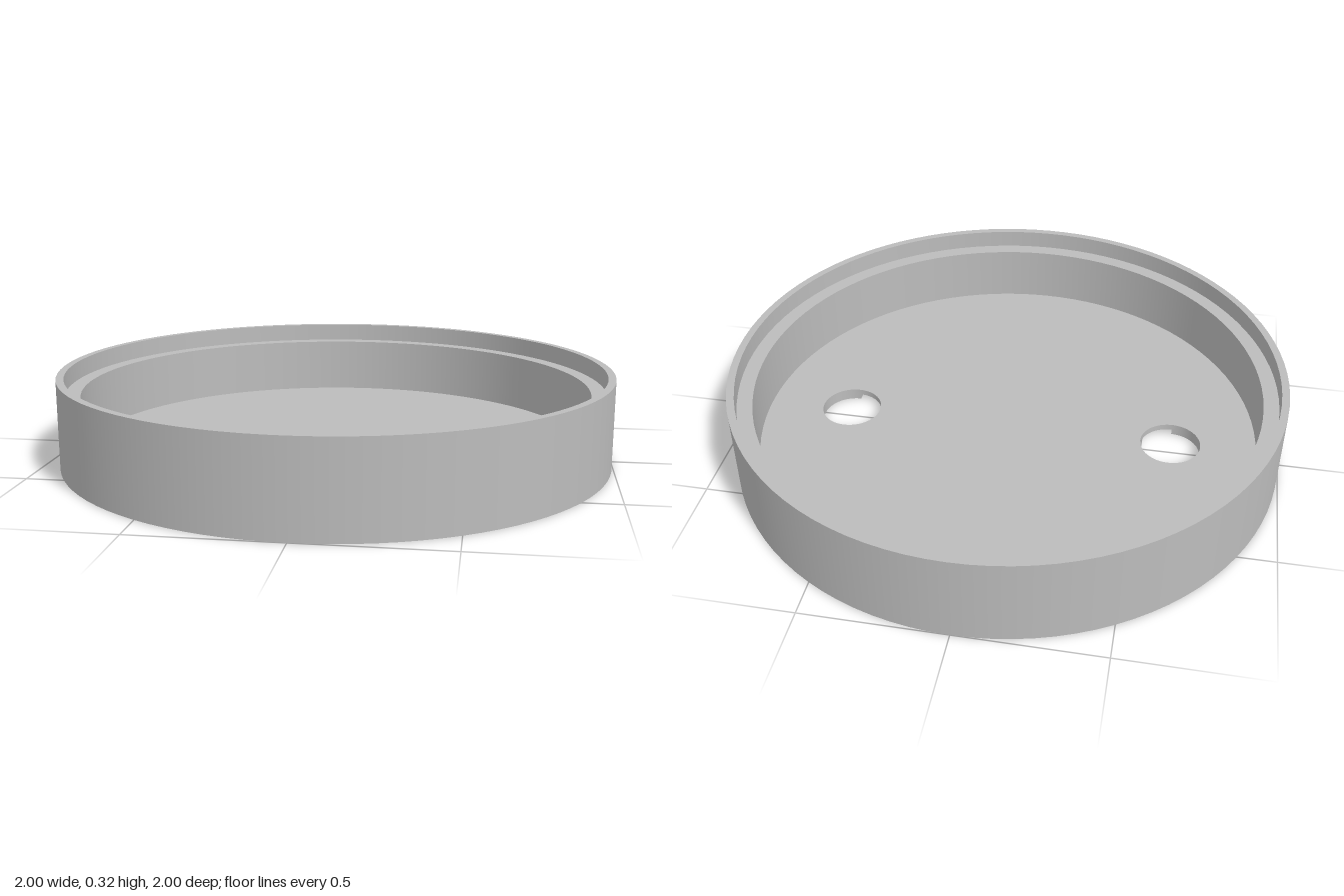
import * as THREE from 'three';
import { mergeGeometries } from 'three/addons/utils/BufferGeometryUtils.js';

const R = 1, LIP = 0.973, INNER = 0.918;             // radii
const TOP = 0.32, LEDGE = 0.253, FLOOR = 0.043, RECESS = 0.021; // heights
const S = 0.607, HOLE = 0.11;                        // recess half side (= hole offset), hole radius
const SEG = 96;

// Revolved profile with a sharp edge at every profile point
function revolve(profile, seg = SEG, start = 0, length = Math.PI * 2) {
  const bands = [];
  for (let i = 0; i < profile.length - 1; i++) {
    const pts = [profile[i], profile[i + 1]].map(([r, y]) => new THREE.Vector2(r, y));
    bands.push(new THREE.LatheGeometry(pts, seg, start, length));
  }
  return mergeGeometries(bands);
}

// Square outline whose left and right sides carry a half circle, bulging out or biting in
function traceSquare(path, biteIn) {
  const q = Math.PI / 2;
  path.moveTo(-S, -S);
  path.lineTo(S, -S);
  path.lineTo(S, -HOLE);
  path.absarc(S, 0, HOLE, -q, q, biteIn);
  path.lineTo(S, S);
  path.lineTo(-S, S);
  path.lineTo(-S, HOLE);
  path.absarc(-S, 0, HOLE, q, biteIn ? -q : 3 * q, biteIn);
  path.closePath();
  return path;
}

function disc(radius) {
  const shape = new THREE.Shape();
  shape.absarc(0, 0, radius, 0, Math.PI * 2, false);
  return shape;
}

// Flat horizontal face, facing up (1) or down (-1)
function face(shape, y, dir, seg) {
  return new THREE.ShapeGeometry(shape, seg).rotateX(-dir * Math.PI / 2).translate(0, y, 0);
}

export function createModel() {
  const group = new THREE.Group();
  const grey = new THREE.MeshStandardMaterial({ color: 0xbcbcbc });
  grey.name = 'plainGrey';
  const add = (name, geometry) => {
    const mesh = new THREE.Mesh(geometry, grey);
    mesh.name = name;
    group.add(mesh);
  };

  // Outer wall, rim, stepped ledge and inner wall
  add('rimWall', revolve([
    [R, 0], [R, TOP], [LIP, TOP], [LIP, LEDGE], [INNER, LEDGE], [INNER, FLOOR],
  ]));

  // Floor inside the dish, with two round holes
  const floor = disc(INNER);
  for (const side of [-1, 1]) {
    const hole = new THREE.Path();
    hole.absarc(side * S, 0, HOLE, 0, Math.PI * 2, true);
    floor.holes.push(hole);
  }
  add('floor', face(floor, FLOOR, 1, SEG));

  // Underside around the square recess
  const under = disc(R);
  under.holes.push(traceSquare(new THREE.Path(), false));
  add('underside', face(under, 0, -1, SEG));

  // Recess ceiling
  add('recessCeiling', face(traceSquare(new THREE.Shape(), true), RECESS, -1, SEG / 2));

  // Recess walls: two whole sides, two sides interrupted by the holes
  const walls = [];
  const w = S - HOLE, offset = (S + HOLE) / 2;
  for (let k = 0; k < 4; k++) {
    const parts = k % 2 ? [[w, -offset], [w, offset]] : [[2 * S, 0]];
    for (const [width, x] of parts) {
      walls.push(new THREE.PlaneGeometry(width, RECESS)
        .translate(x, RECESS / 2, -S).rotateY(k * Math.PI / 2));
    }
  }
  add('recessWalls', mergeGeometries(walls));

  // Hole walls: full ring above the recess, half ring beside it
  for (const side of [-1, 1]) {
    const ring = revolve([[HOLE, FLOOR], [HOLE, RECESS]], SEG);
    const half = revolve([[HOLE, RECESS], [HOLE, 0]], SEG / 2, side > 0 ? 0 : Math.PI, Math.PI);
    add(side > 0 ? 'leftHoleWall' : 'rightHoleWall',
      mergeGeometries([ring, half]).translate(side * S, 0, 0));
  }
  return group;
}
